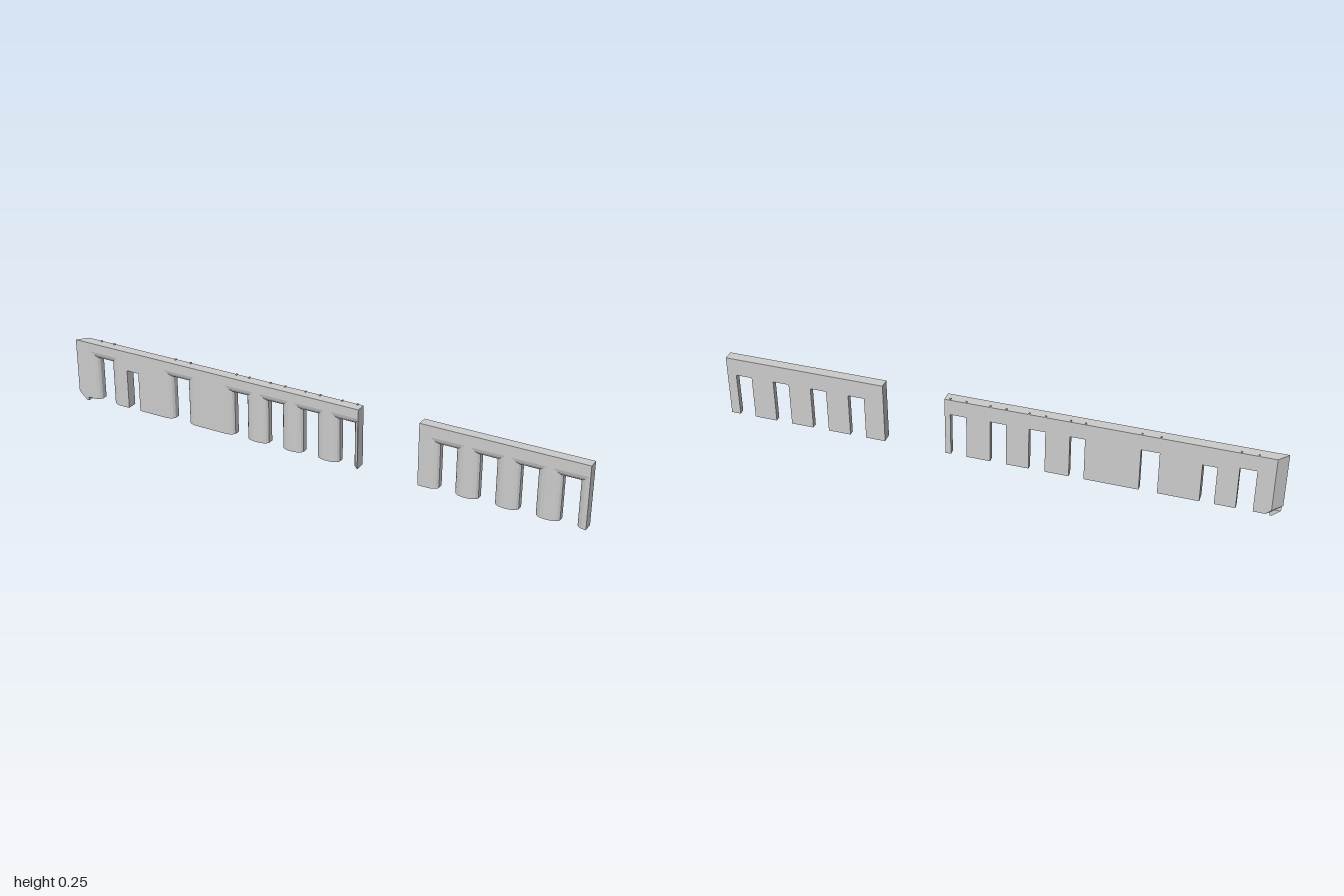
import * as THREE from 'three';

const material = new THREE.MeshStandardMaterial({ color: 0xcccccc, flatShading: true });

// Slices of the wall from back to front: [z, how far the doorway flares open]
const SLICES = [[-0.018, 0], [0.003, 0], [0.011, 0.006], [0.017, 0.017], [0.02, 0.03]];
const BASE = 0.014;

// Counter-clockwise wall outline at one slice; doors are notches from the ground
function outline(wall, z, flare) {
  const { x1, top, doors, slant = 0 } = wall;
  const x0 = wall.x0 + slant * (0.02 - z) / 0.038;
  const cut = slant ? 0.018 : 0;
  const pts = [];
  if (cut) pts.push([x0, BASE + cut]);
  pts.push([x0 + cut, BASE]);
  doors.forEach(([a, b, h, plain], i) => {
    const prev = i ? doors[i - 1][1] : x0 + cut;
    const next = i < doors.length - 1 ? doors[i + 1][0] : x1;
    const f = plain ? 0 : flare;
    const l = a - Math.min(f, (a - prev) * 0.42);
    const r = b + Math.min(f, (next - b) * (next === x1 ? 0.85 : 0.42));
    const y = h + f * 0.85;
    pts.push([l, BASE], [l, y], [r, y], [r, BASE]);
  });
  pts.push([x1, BASE], [x1, top], [x0, top]);
  return pts;
}

// Loft the slices together and cap the front and back
function wallGeometry(wall) {
  const loops = SLICES.map(([z, f]) => outline(wall, z, f).map(([x, y]) => new THREE.Vector3(x, y, z)));
  const out = [];
  const tri = (...v) => v.forEach((p) => out.push(p.x, p.y, p.z));
  const n = loops[0].length;
  for (let s = 0; s < loops.length - 1; s++) {
    const back = loops[s], front = loops[s + 1];
    for (let i = 0; i < n; i++) {
      const j = (i + 1) % n;
      tri(back[i], back[j], front[j]);
      tri(back[i], front[j], front[i]);
    }
  }
  const cap = (loop, flip) => {
    const flat = loop.map((p) => new THREE.Vector2(p.x, p.y));
    for (const [a, b, c] of THREE.ShapeUtils.triangulateShape(flat, [])) {
      if (flip) tri(loop[a], loop[c], loop[b]);
      else tri(loop[a], loop[b], loop[c]);
    }
  };
  cap(loops[0], true);
  cap(loops[loops.length - 1], false);
  const g = new THREE.BufferGeometry();
  g.setAttribute('position', new THREE.Float32BufferAttribute(out, 3));
  g.computeVertexNormals();
  return g;
}

function add(group, name, geometry) {
  const mesh = new THREE.Mesh(geometry, material);
  mesh.name = name;
  group.add(mesh);
  return mesh;
}

export function createModel() {
  const model = new THREE.Group();
  model.name = 'doorwayWalls';

  // Long wall with a slanted end; its second doorway is plain and lower
  const longWall = {
    x0: -1, x1: 0.177, top: 0.24, slant: 0.033,
    doors: [
      [-0.906, -0.848, 0.18], [-0.775, -0.725, 0.165, true], [-0.58, -0.516, 0.18],
      [-0.323, -0.27, 0.18], [-0.184, -0.126, 0.18], [-0.045, 0.013, 0.18], [0.099, 0.157, 0.18],
    ],
  };
  add(model, 'longWall', wallGeometry(longWall));

  // Short wall with four evenly spaced doorways
  const doors = [];
  for (let i = 0; i < 4; i++) doors.push([0.476 + i * 0.1433, 0.536 + i * 0.1433, 0.18]);
  add(model, 'shortWall', wallGeometry({ x0: 0.404, x1: 1, top: 0.247, doors }));

  // Pointed foot under the slanted end
  const foot = new THREE.Shape([[-0.996, 0.026], [-0.968, 0], [-0.96, 0], [-0.96, 0.026]]
    .map(([x, y]) => new THREE.Vector2(x, y)));
  const footGeometry = new THREE.ExtrudeGeometry(foot, { depth: 0.022, bevelEnabled: false });
  add(model, 'cornerFoot', footGeometry).position.z = -0.003;

  // Tiny pins on the long wall's top, above the door jambs
  for (const [a, b, , plain] of longWall.doors) {
    if (plain) continue;
    for (const x of [a, b]) {
      add(model, 'topPin', new THREE.BoxGeometry(0.005, 0.01, 0.007)).position.set(x, 0.239, -0.013);
    }
  }
  return model;
}
